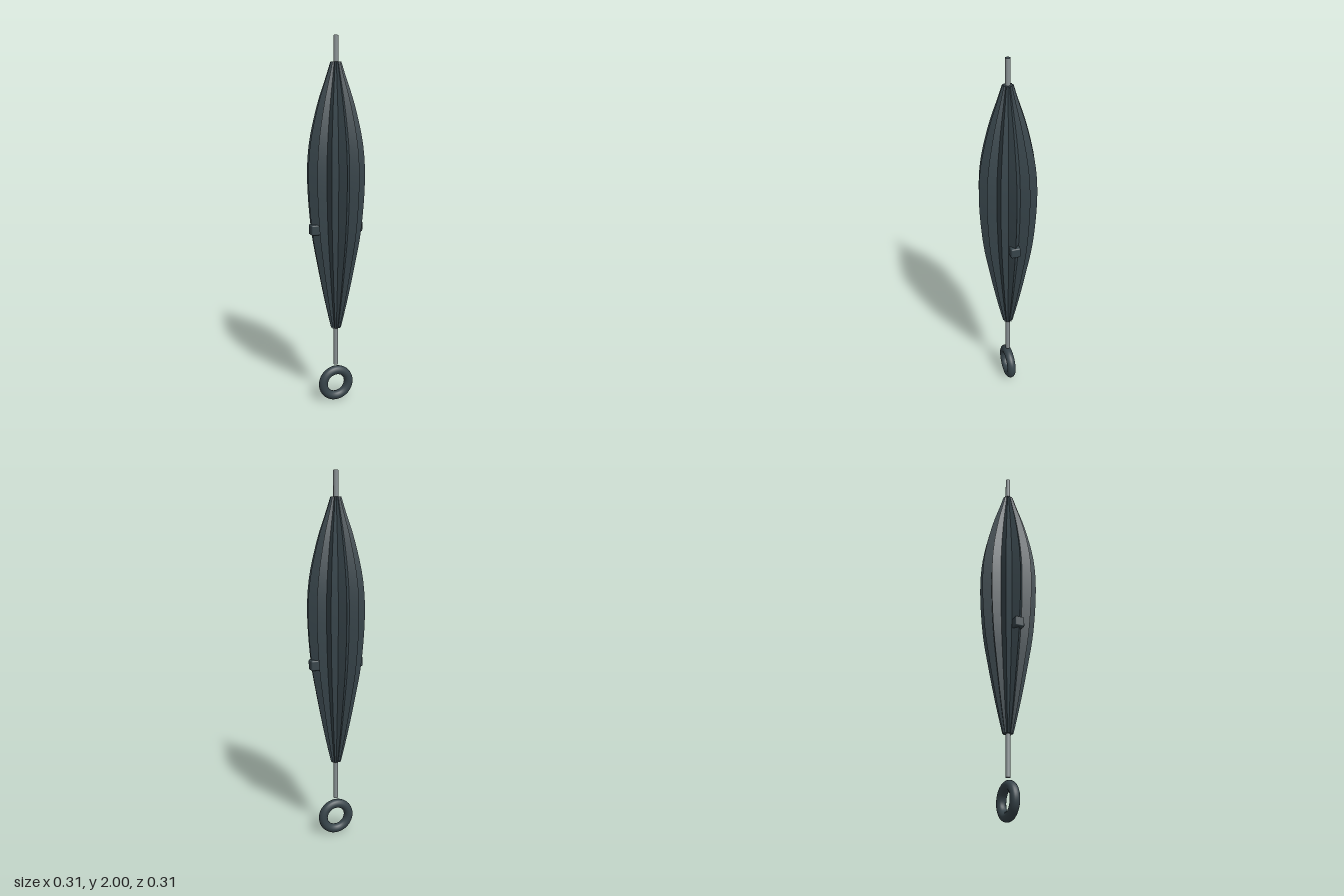
import * as THREE from 'three';
import { toCreasedNormals } from 'three/addons/utils/BufferGeometryUtils.js';
import { RoundedBoxGeometry } from 'three/addons/geometries/RoundedBoxGeometry.js';

const RIBS = 12;
const VALLEY = 0.765; // radius of a fold valley relative to its ridge

// Folded canopy: a lathe whose every second column is pulled in to make a star section
function canopyGeometry() {
  const curve = new THREE.SplineCurve([
    [0.028, 0.435], [0.065, 0.6], [0.104, 0.8], [0.137, 1.0], [0.154, 1.25],
    [0.143, 1.45], [0.099, 1.65], [0.05, 1.8], [0.028, 1.87],
  ].map(([r, y]) => new THREE.Vector2(r, y)));
  const profile = [
    new THREE.Vector2(0, 0.435),
    ...curve.getPoints(32),
    new THREE.Vector2(0, 1.87),
  ];
  const geometry = new THREE.LatheGeometry(profile, RIBS * 2);
  const pos = geometry.attributes.position;
  for (let i = 0; i < pos.count; i++) {
    const column = Math.floor(i / profile.length);
    if (column % 2 === 1) {
      pos.setX(i, pos.getX(i) * VALLEY);
      pos.setZ(i, pos.getZ(i) * VALLEY);
    }
  }
  return toCreasedNormals(geometry, 0.35);
}

export function createModel() {
  const group = new THREE.Group();
  const fabric = new THREE.MeshStandardMaterial({ color: 0x37444a });
  fabric.name = 'dark slate';
  const metal = new THREE.MeshStandardMaterial({ color: 0x8a9294 });
  metal.name = 'grey metal';

  const add = (name, geometry, material, x = 0, y = 0, z = 0) => {
    const mesh = new THREE.Mesh(geometry, material);
    mesh.name = name;
    mesh.position.set(x, y, z);
    group.add(mesh);
    return mesh;
  };

  add('canopy', canopyGeometry(), fabric);

  // Shaft running through the canopy, with a dark top end
  const bottom = 0.215, top = 2;
  add('shaft', new THREE.CylinderGeometry(0.013, 0.013, top - bottom, 16),
    [metal, fabric, metal], 0, (top + bottom) / 2, 0);

  // Ring handle
  add('ringHandle', new THREE.TorusGeometry(0.076, 0.025, 16, 48), fabric, 0, 0.101, 0);

  // Closing strap clips on both sides
  for (const side of [1, -1]) {
    add(side > 0 ? 'leftClip' : 'rightClip',
      new RoundedBoxGeometry(0.06, 0.056, 0.052, 3, 0.008), fabric, side * 0.117, 1.002, 0);
  }
  return group;
}
